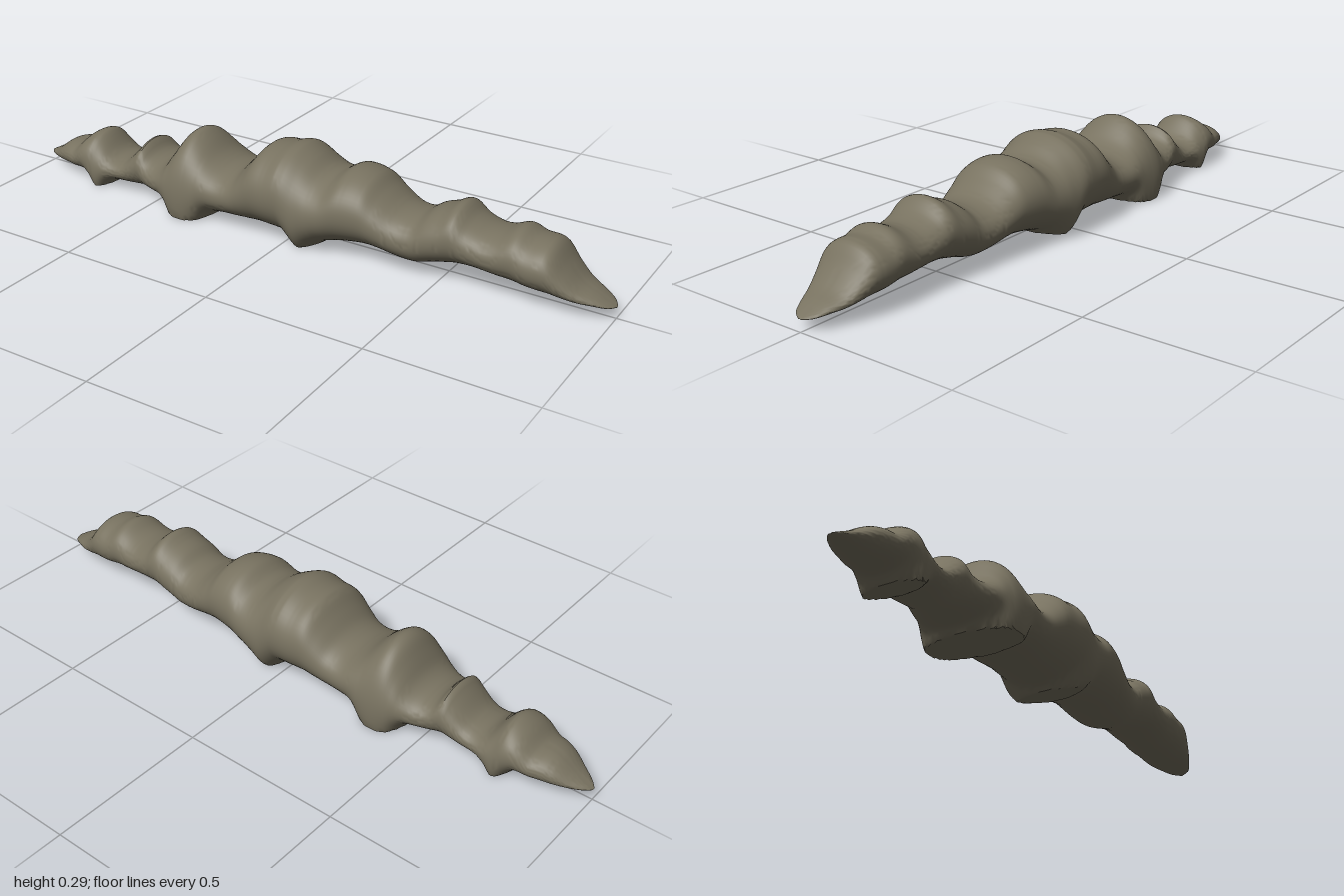
import * as THREE from 'three';
import { toCreasedNormals } from 'three/addons/utils/BufferGeometryUtils.js';

// Profiles along the length: x, value pairs
const TOP = [-1, .038, -.95, .065, -.9, .1, -.87, .11, -.84, .112, -.8, .147, -.76, .165, -.74, .155, -.7, .112,
  -.67, .1, -.63, .11, -.58, .16, -.56, .178, -.53, .147, -.49, .136, -.45, .155, -.42, .2, -.39, .243, -.36, .255,
  -.33, .237, -.28, .192, -.23, .173, -.18, .185, -.14, .225, -.1, .268, -.05, .275, 0, .286, .05, .266, .1, .235,
  .14, .232, .19, .258, .26, .248, .3, .215, .36, .178, .42, .176, .46, .2, .5, .215, .54, .232, .58, .2,
  .63, .182, .67, .186, .72, .205, .76, .19, .82, .182, .86, .13, .9, .088, .95, .063, 1, .037];
// values below zero become flat-cut feet
const BOTTOM = [-1, .035, -.9, .025, -.8, .02, -.77, -.01, -.74, -.06, -.71, -.01, -.68, .018, -.6, .02, -.46, .018,
  -.43, -.02, -.4, -.1, -.36, -.14, -.32, -.08, -.29, -.01, -.26, .015, -.15, .02, 0, .014, .025, -.01, .055, -.04,
  .09, -.01, .13, .017, .22, .035, .3, .04, .42, .026, .5, .045, .6, .06, .7, .05, .8, .04, 1, .034];
const WIDTH = [-1, .004, -.985, .022, -.95, .046, -.9, .072, -.8, .1, -.74, .106, -.65, .095, -.55, .105, -.48, .125,
  -.4, .153, -.35, .157, -.2, .143, -.1, .157, 0, .164, .1, .16, .2, .147, .3, .13, .4, .116, .5, .115, .6, .107,
  .7, .105, .8, .105, .87, .086, .95, .052, .985, .03, 1, .004];

// Smooth Hermite interpolation of a profile
function sample(p, x) {
  const n = p.length / 2;
  let i = 0;
  while (i < n - 2 && x > p[2 * i + 2]) i++;
  const slope = k => {
    const a = Math.max(k - 1, 0), b = Math.min(k + 1, n - 1);
    return (p[2 * b + 1] - p[2 * a + 1]) / (p[2 * b] - p[2 * a]);
  };
  const h = p[2 * i + 2] - p[2 * i], t = (x - p[2 * i]) / h, t2 = t * t, t3 = t2 * t;
  return (2 * t3 - 3 * t2 + 1) * p[2 * i + 1] + (t3 - 2 * t2 + t) * h * slope(i)
    + (3 * t2 - 2 * t3) * p[2 * i + 3] + (t3 - t2) * h * slope(i + 1);
}

// Loft of rounded cross-sections, cut flat at the ground
function loft(steps, sides) {
  const pos = [], index = [];
  for (let i = 0; i <= steps; i++) {
    const x = -1 + 2 * i / steps;
    const top = sample(TOP, x), bottom = sample(BOTTOM, x), w = sample(WIDTH, x);
    const mid = (top + bottom) / 2, half = (top - bottom) / 2;
    for (let j = 0; j < sides; j++) {
      const a = j / sides * Math.PI * 2, c = Math.cos(a), s = Math.sin(a);
      const y = mid + half * Math.sign(s) * Math.pow(Math.abs(s), .95);
      pos.push(x, Math.max(0, y), w * c);
      if (i < steps) {
        const k = (j + 1) % sides, p = i * sides, q = p + sides;
        index.push(p + j, q + j, p + k, q + j, q + k, p + k);
      }
    }
  }
  const geo = new THREE.BufferGeometry();
  geo.setAttribute('position', new THREE.Float32BufferAttribute(pos, 3));
  geo.setIndex(index);
  return toCreasedNormals(geo, .7);
}

export function createModel() {
  const group = new THREE.Group();
  group.name = 'rockRidge';
  const stone = new THREE.MeshStandardMaterial({ color: 0x787260 });
  stone.name = 'stone';
  const ridge = new THREE.Mesh(loft(240, 56), stone);
  ridge.name = 'ridgeBody';
  group.add(ridge);
  return group;
}
